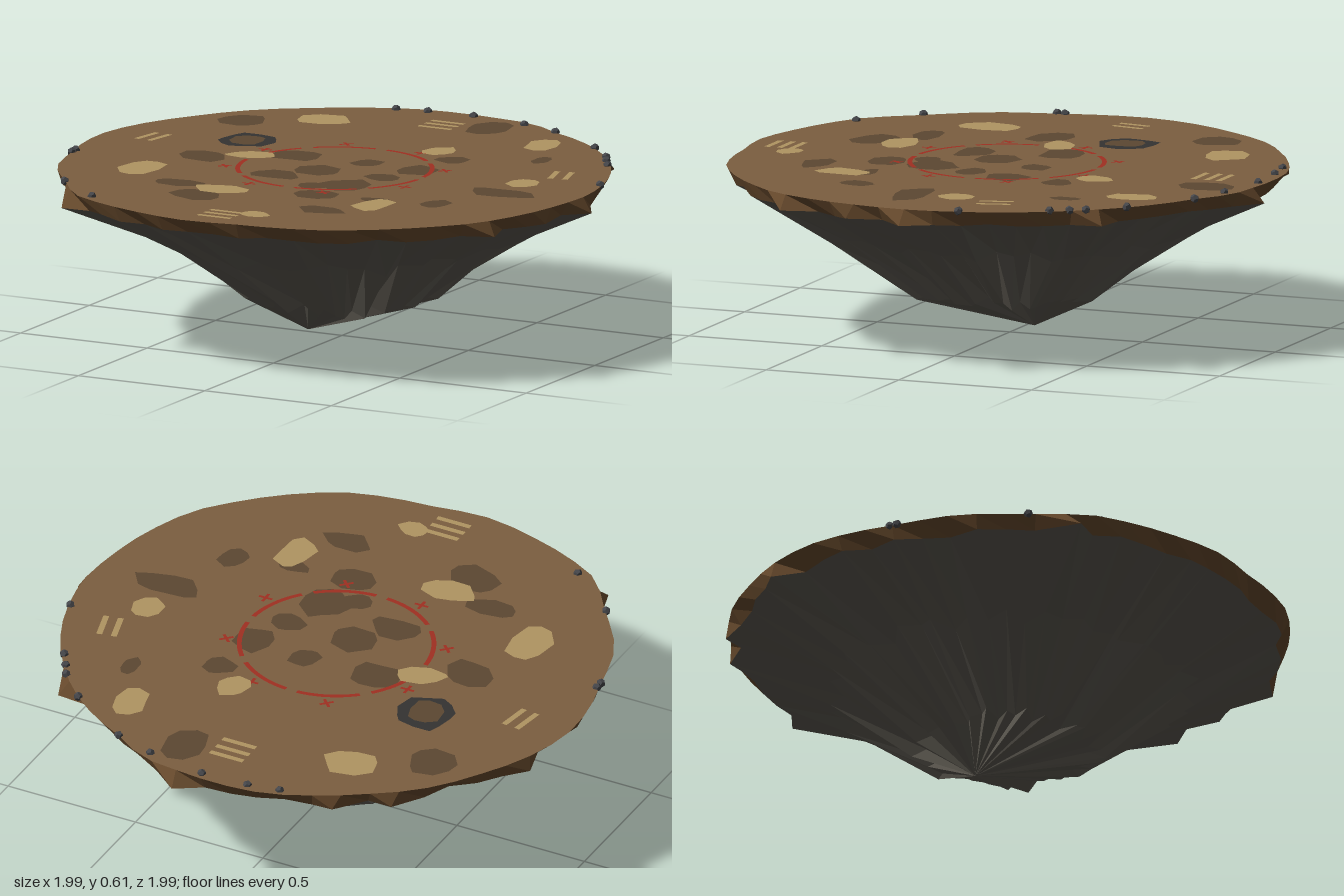
import * as THREE from 'three';

const TOP = 0.595;
const SEG = 60;

const material = (name, color) => {
  const m = new THREE.MeshStandardMaterial({ color });
  m.name = name;
  return m;
};

// Small seeded random generator
function seeded(seed) {
  let s = seed;
  return () => {
    s = (s * 16807) % 2147483647;
    return s / 2147483647;
  };
}

// Outline of the ground as x, z pairs in order of angle
const OUTLINE = [
  0.955, 0, 0.94, 0.16, 0.885, 0.4, 0.82, 0.55, 0.715, 0.67, 0.59, 0.785, 0.405, 0.9, 0.2, 0.95,
  0.085, 0.96, -0.02, 0.98, -0.14, 0.985, -0.26, 0.955, -0.44, 0.9, -0.61, 0.815, -0.75, 0.63,
  -0.89, 0.44, -0.945, 0.23, -1, -0.09, -0.97, -0.25, -0.85, -0.49, -0.705, -0.68, -0.555, -0.79,
  -0.385, -0.89, -0.245, -0.95, 0.085, -0.96, 0.245, -0.94, 0.38, -0.855, 0.62, -0.7,
  0.735, -0.575, 0.84, -0.415, 0.92, -0.21,
];

// Jags of earth that stick out past the outline
const JAGS = [
  [0.99, 0.005], [0.93, 0.23], [0.875, 0.5], [-0.67, 0.81], [-0.955, -0.32],
  [-0.635, -0.75], [-0.46, -0.86], [0.096, -1], [0.725, -0.65],
];

const TAU = Math.PI * 2;
const angleOf = (x, z) => (Math.atan2(z, x) + TAU) % TAU;

function outlineRadius(a) {
  const n = OUTLINE.length / 2;
  for (let i = 0; i < n; i++) {
    const j = (i + 1) % n;
    const [x0, z0, x1, z1] = [OUTLINE[2 * i], OUTLINE[2 * i + 1], OUTLINE[2 * j], OUTLINE[2 * j + 1]];
    const a0 = angleOf(x0, z0);
    const a1 = j === 0 ? TAU : angleOf(x1, z1);
    if (a >= a0 && a <= a1) {
      const t = (a - a0) / (a1 - a0);
      return Math.hypot(x0, z0) * (1 - t) + Math.hypot(x1, z1) * t;
    }
  }
  return 0.95;
}

const ring = (fn) => Array.from({ length: SEG }, (_, i) => fn((i / SEG) * TAU, i));
const point = (p) => Array(SEG).fill(p);

// Faceted surface through a list of rings, outward when listed from top to bottom
function ringSurface(rings) {
  const pos = [];
  for (let k = 0; k + 1 < rings.length; k++) {
    const [up, low] = [rings[k], rings[k + 1]];
    for (let i = 0; i < SEG; i++) {
      const j = (i + 1) % SEG;
      if (up[i] !== up[j]) pos.push(...up[i], ...up[j], ...low[i]);
      if (low[i] !== low[j]) pos.push(...up[j], ...low[j], ...low[i]);
    }
  }
  const g = new THREE.BufferGeometry();
  g.setAttribute('position', new THREE.Float32BufferAttribute(pos, 3));
  g.computeVertexNormals();
  return g;
}

// Flat irregular patch with an uneven edge
function blob(rx, rz, seed, sides = 9) {
  const rnd = seeded(seed * 977 + 31);
  const pts = [];
  for (let i = 0; i < sides; i++) {
    const a = ((i + (rnd() - 0.5) * 0.6) / sides) * TAU;
    const r = 0.8 + rnd() * 0.35;
    pts.push(new THREE.Vector2(Math.cos(a) * rx * r, Math.sin(a) * rz * r));
  }
  return new THREE.ShapeGeometry(new THREE.Shape(pts)).rotateX(-Math.PI / 2);
}

export function createModel() {
  const group = new THREE.Group();
  const mats = {
    ground: material('ground brown', 0x7c5e40),
    earth: material('rim earth', 0x66492c),
    rock: material('grey rock', 0x5c5850),
    mud: material('dark mud', 0x5c4832),
    sand: material('pale sand', 0xb09562),
    paint: material('red paint', 0xa03022),
    scorch: material('scorched black', 0x343332),
    pebble: material('pebble grey', 0x45464a),
  };
  const add = (name, geo, mat, x = 0, y = 0, z = 0, rotY = 0, parent = group) => {
    const m = new THREE.Mesh(geo, mat);
    m.name = name;
    m.position.set(x, y, z);
    m.rotation.y = rotY;
    parent.add(m);
    return m;
  };
  const subgroup = (name) => {
    const g = new THREE.Group();
    g.name = name;
    group.add(g);
    return g;
  };

  // Ground, earth rim and pleated rock cone
  const rnd = seeded(4711);
  const topRing = ring((a) => [Math.cos(a) * outlineRadius(a), TOP, Math.sin(a) * outlineRadius(a)]);
  const rimRing = ring((a) => {
    const r = outlineRadius(a) * (0.935 + rnd() * 0.05);
    return [Math.cos(a) * r, 0.537 + rnd() * 0.012, Math.sin(a) * r];
  });
  JAGS.forEach(([x, z]) => {
    rimRing[Math.round((angleOf(x, z) / TAU) * SEG) % SEG] = [x, 0.542, z];
  });
  const rockRing = (radius, y, pleat) => ring((a, i) => {
    const r = outlineRadius(a) * radius * (1 - pleat * ((i % 2) * 0.6 + rnd() * 0.5));
    return [Math.cos(a) * r, y + (rnd() - 0.5) * 0.04, Math.sin(a) * r];
  });
  add('ground', ringSurface([point([0, TOP, 0]), topRing]), mats.ground);
  add('earthRim', ringSurface([topRing, rimRing]), mats.earth);
  const rockRings = [rimRing, rockRing(0.68, 0.37, 0.14), rockRing(0.36, 0.15, 0.24), point([-0.15, 0, -0.03])];
  add('rockUnderside', ringSurface(rockRings), mats.rock);

  // Ground patches: x, z, half width, half depth
  const mud = [
    [-0.67, -0.51, 0.09, 0.085], [0.15, -0.8, 0.09, 0.105], [0.55, -0.44, 0.032, 0.055],
    [0.28, -0.295, 0.06, 0.06], [-0.235, -0.1, 0.09, 0.085], [0.04, -0.115, 0.06, 0.055],
    [0.245, -0.09, 0.07, 0.085], [0.2, 0.06, 0.07, 0.06], [-0.52, 0.06, 0.095, 0.09],
    [-0.05, 0.065, 0.085, 0.085], [-0.16, 0.2, 0.1, 0.065], [0.14, 0.23, 0.095, 0.095],
    [0.04, 0.295, 0.055, 0.055], [0.125, 0.41, 0.085, 0.065], [0.68, 0.09, 0.13, 0.065],
    [0.555, 0.34, 0.053, 0.065], [-0.395, 0.475, 0.1, 0.058], [-0.245, 0.61, 0.105, 0.085],
    [0.255, 0.62, 0.095, 0.058], [0.35, 0.39, 0.065, 0.037],
  ];
  const sand = [
    [-0.415, -0.64, 0.1, 0.08], [0.445, -0.645, 0.065, 0.085], [0.17, -0.39, 0.058, 0.075],
    [-0.38, -0.025, 0.1, 0.055, 0.5], [0.67, -0.075, 0.058, 0.07], [-0.61, 0.33, 0.075, 0.105],
    [-0.21, 0.5, 0.098, 0.07], [0.375, 0.465, 0.062, 0.1], [0.085, 0.795, 0.06, 0.048],
  ];
  const mudGroup = subgroup('mudPatches');
  mud.forEach(([x, z, rx, rz], i) => add('mudPatch', blob(rx, rz, i + 1), mats.mud, x, TOP + 0.0015, z, 0, mudGroup));
  const sandGroup = subgroup('sandPatches');
  sand.forEach(([x, z, rx, rz, rot = 0], i) =>
    add('sandPatch', blob(rx, rz, i + 50), mats.sand, x, TOP + 0.0035, z, rot, sandGroup));

  // Scorched pit
  add('pitEdge', blob(0.112, 0.105, 81, 12), mats.scorch, -0.505, TOP + 0.002, -0.235);
  add('pitFloor', blob(0.066, 0.068, 82), mats.mud, -0.495, TOP + 0.0035, -0.23);

  // Broken red circle with a small cross outside each dash
  const circle = subgroup('paintedCircle');
  circle.position.set(-0.018, TOP, 0.018);
  for (let k = 0; k < 8; k++) {
    const mid = (k + 0.5) * (TAU / 8);
    const arc = new THREE.RingGeometry(0.33, 0.347, 10, 1, mid - 0.33, 0.66).rotateX(-Math.PI / 2);
    add('circleDash', arc, mats.paint, 0, 0.0025, 0, 0, circle);
    for (const turn of [0.4, 0.4 + Math.PI / 2]) {
      const bar = new THREE.PlaneGeometry(0.052, 0.011).rotateX(-Math.PI / 2);
      add('crossBar', bar, mats.paint, Math.cos(mid) * 0.385, 0.0025, -Math.sin(mid) * 0.385, mid + turn, circle);
    }
  }

  // Sand-coloured bars near the four sides: x, z, turn
  const bars = subgroup('groundBars');
  const barList = [[-0.837, -0.12, 1.42], [-0.785, -0.115, 1.42], [0.705, -0.245, -1.3], [0.757, -0.255, -1.3]];
  for (const z of [-0.805, -0.76, -0.71, 0.806, 0.85, 0.897]) barList.push([-0.018, z, 0]);
  barList.forEach(([x, z, turn]) => {
    const len = turn === 0 ? 0.13 : 0.12;
    add('groundBar', new THREE.PlaneGeometry(len, 0.021).rotateX(-Math.PI / 2), mats.sand, x, TOP + 0.004, z, turn, bars);
  });

  // Pebbles along the edge
  const pebbles = subgroup('edgePebbles');
  [
    [-0.28, -0.91], [-0.165, -0.93], [0.01, -0.94], [0.23, -0.905], [0.38, -0.855], [0.62, -0.7],
    [0.725, -0.59], [0.753, -0.54], [0.79, -0.48], [0.918, -0.19], [-0.95, 0.19], [-0.95, 0.22],
    [-0.75, 0.64], [-0.55, 0.81],
  ].forEach(([x, z], i) => add('pebble', new THREE.DodecahedronGeometry(0.016), mats.pebble, x, TOP + 0.002, z, i, pebbles));

  return group;
}
